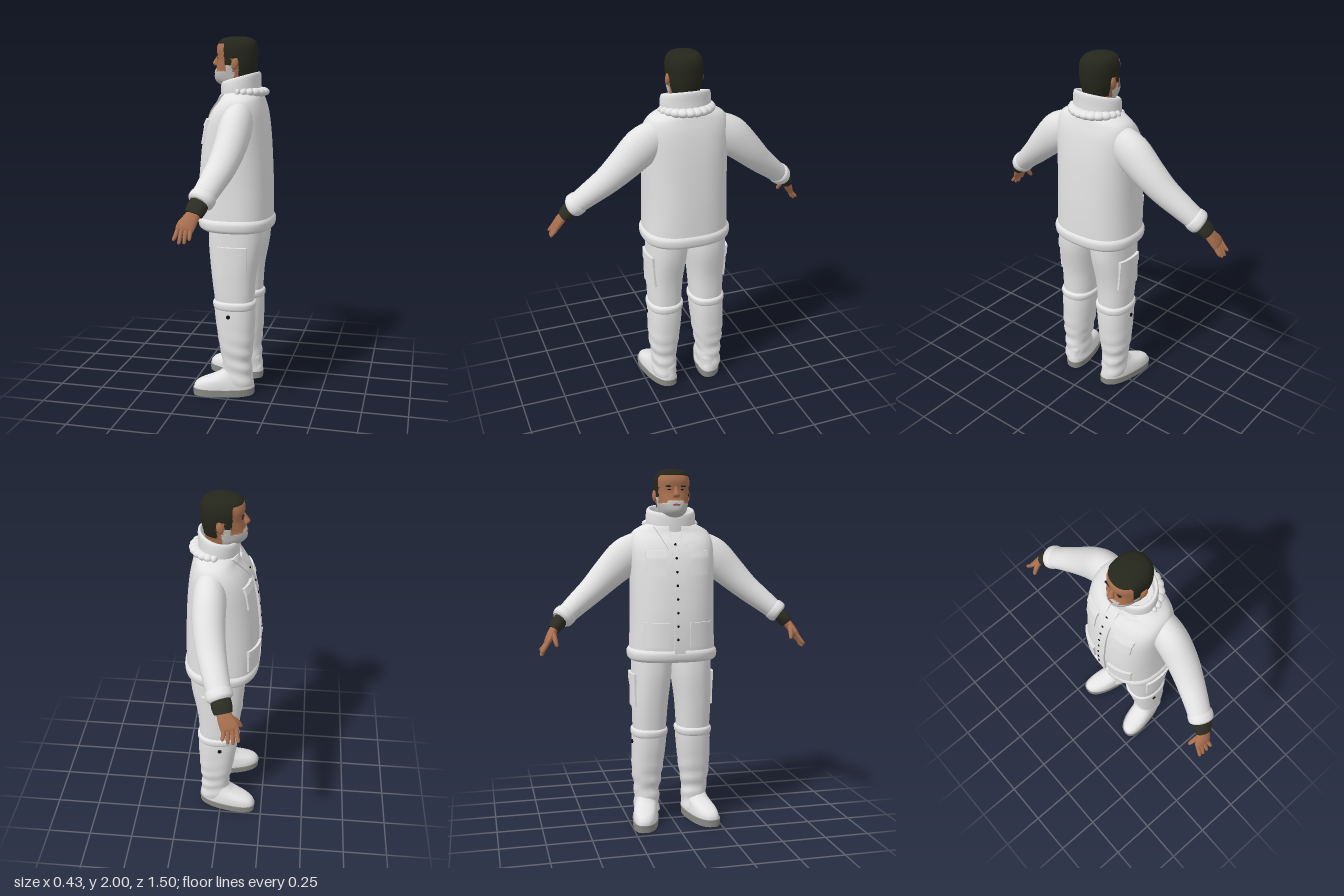
import * as THREE from 'three';

const mat = (name, color, extra = {}) => Object.assign(new THREE.MeshStandardMaterial({ color, ...extra }), { name });
const M = {
  cloth: mat('white cloth', 0xe3e3e3), skin: mat('skin', 0xa9704f), hair: mat('dark hair', 0x25261b),
  beard: mat('grey beard', 0xc4c3c1), knit: mat('dark knit', 0x2b2c22), sole: mat('sole grey', 0x8b8b87),
  black: mat('button black', 0x101010), lips: mat('lips', 0x925848),
};

// Smoothly subdivide a list of sections [x, y, z, ru, rv, power]
function refine(secs, steps) {
  const out = [];
  for (let i = 0; i < secs.length - 1; i++) {
    const p = [secs[Math.max(i - 1, 0)], secs[i], secs[i + 1], secs[Math.min(i + 2, secs.length - 1)]];
    for (let k = 0; k < steps; k++) {
      const t = k / steps;
      out.push(p[1].map((_, c) => {
        const [a, b, d, e] = p.map(s => s[c]);
        return b + 0.5 * t * (d - a + t * (2 * a - 5 * b + 4 * d - e + t * (3 * (b - d) + e - a)));
      }));
    }
  }
  out.push(secs[secs.length - 1]);
  return out;
}

// Skin superellipse sections; level keeps them horizontal, otherwise they follow the path
function loft(secs, { n = 32, steps = 4, level = true, caps = true } = {}) {
  const S = refine(secs.map(s => [...s.slice(0, 5), s[5] || 2]), steps);
  const pos = [], idx = [];
  const P = S.map(s => new THREE.Vector3(s[0], s[1], s[2]));
  S.forEach((s, i) => {
    const t = level ? new THREE.Vector3(0, 1, 0)
      : P[Math.min(i + 1, P.length - 1)].clone().sub(P[Math.max(i - 1, 0)]).normalize();
    const u = new THREE.Vector3(1, 0, 0).addScaledVector(t, -t.x).normalize();
    const v = t.clone().cross(u);
    for (let j = 0; j < n; j++) {
      const a = j / n * Math.PI * 2, c = Math.cos(a), d = Math.sin(a), e = 2 / s[5];
      const q = P[i].clone().addScaledVector(u, s[3] * Math.sign(c) * Math.abs(c) ** e)
        .addScaledVector(v, s[4] * Math.sign(d) * Math.abs(d) ** e);
      pos.push(q.x, q.y, q.z);
    }
  });
  for (let i = 0; i < S.length - 1; i++) for (let j = 0; j < n; j++) {
    const a = i * n + j, b = i * n + (j + 1) % n;
    idx.push(a, b, a + n, b, b + n, a + n);
  }
  if (caps) for (const i of [0, S.length - 1]) {
    const base = pos.length / 3;
    pos.push(...pos.slice(i * n * 3, (i + 1) * n * 3), P[i].x, P[i].y, P[i].z);
    for (let j = 0; j < n; j++) {
      const k = base + (j + 1) % n;
      if (i) idx.push(base + j, k, base + n); else idx.push(k, base + j, base + n);
    }
  }
  const g = new THREE.BufferGeometry();
  g.setAttribute('position', new THREE.Float32BufferAttribute(pos, 3));
  g.setIndex(idx);
  g.computeVertexNormals();
  return g;
}

// Move every vertex by a rule
function warp(g, rule) {
  const p = g.attributes.position, v = new THREE.Vector3();
  for (let i = 0; i < p.count; i++) { rule(v.fromBufferAttribute(p, i)); p.setXYZ(i, v.x, v.y, v.z); }
  g.computeVertexNormals();
  return g;
}

// Horizontal section from extents: y, x range, z range
const ring = (y, x0, x1, z0, z1, p = 2.3) => [(x0 + x1) / 2, y, (z0 + z1) / 2, (x1 - x0) / 2, (z1 - z0) / 2, p];
const mirrorZ = (secs, s) => secs.map(q => q.map((v, i) => i === 2 ? v * s : v));
function sectionAt(secs, y) {
  let i = secs.findIndex((q, k) => k && (q[1] - y) * (secs[k - 1][1] - y) <= 0);
  if (i < 1) i = 1;
  const t = (y - secs[i - 1][1]) / (secs[i][1] - secs[i - 1][1]);
  return secs[i].map((v, c) => THREE.MathUtils.lerp(secs[i - 1][c], v, t));
}
const bulge = (d, r, p) => Math.max(0, 1 - Math.min(1, Math.abs(d / r)) ** p) ** (1 / p);

// Main cross-sections
const TORSO = [ring(0.96, -0.19, 0.2, -0.24, 0.24, 2.5), ring(1.03, -0.2, 0.202, -0.238, 0.238, 2.5),
  ring(1.2, -0.203, 0.2, -0.232, 0.232, 2.5), ring(1.4, -0.185, 0.19, -0.233, 0.233, 2.5),
  ring(1.52, -0.16, 0.178, -0.235, 0.235, 2.6), ring(1.6, -0.125, 0.165, -0.232, 0.232, 2.6),
  ring(1.655, -0.085, 0.15, -0.215, 0.215, 2.4), ring(1.685, -0.075, 0.14, -0.175, 0.175, 2.2),
  ring(1.71, -0.06, 0.12, -0.12, 0.12, 2)];
const LEG = [ring(1.0, -0.13, 0.17, 0, 0.225), ring(0.87, -0.132, 0.167, 0.004, 0.226),
  ring(0.7, -0.115, 0.135, 0.024, 0.226), ring(0.56, -0.097, 0.125, 0.034, 0.222), ring(0.5, -0.09, 0.12, 0.04, 0.215)];
const GAITER = [ring(0.53, -0.1, 0.13, 0.03, 0.226), ring(0.45, -0.093, 0.132, 0.035, 0.228),
  ring(0.3, -0.07, 0.125, 0.052, 0.226), ring(0.2, -0.052, 0.115, 0.068, 0.215),
  ring(0.14, -0.05, 0.118, 0.07, 0.213), ring(0.06, -0.06, 0.122, 0.07, 0.213)].reverse();
const HEAD = [ring(1.65, -0.04, 0.09, -0.065, 0.065), ring(1.72, -0.045, 0.09, -0.064, 0.064),
  ring(1.738, -0.088, 0.09, -0.062, 0.062, 2), ring(1.765, -0.118, 0.094, -0.072, 0.072, 2),
  ring(1.8, -0.12, 0.098, -0.08, 0.08), ring(1.84, -0.112, 0.106, -0.088, 0.088), ring(1.88, -0.106, 0.11, -0.091, 0.091),
  ring(1.93, -0.112, 0.111, -0.092, 0.092), ring(1.965, -0.1, 0.102, -0.083, 0.083),
  ring(1.987, -0.075, 0.08, -0.065, 0.065, 2.1), ring(1.998, -0.03, 0.04, -0.03, 0.03, 2)];

const frontX = (y, z) => { const q = sectionAt(TORSO, y); return q[0] - q[3] * bulge(z, q[4], q[5]); };
// Raised plate following the jacket front; [z range] at its bottom and top
function frontPlate(y0, y1, bottom, top, s = 1, thick = 0.02) {
  return warp(new THREE.BoxGeometry(thick, 1, 1, 1, 12, 10), v => {
    const t = v.y + 0.5, w = s > 0 ? v.z + 0.5 : 0.5 - v.z, L = THREE.MathUtils.lerp;
    v.y = L(y0, y1, t);
    v.z = s * L(L(bottom[0], top[0], t), L(bottom[1], top[1], t), w);
    v.x += frontX(v.y, v.z);
  });
}

// Head regions: 0 skin, 1 hair, 2 beard
function region({ x, y, z }) {
  if (y > 1.962 || (x > -0.055 && y > 1.88) || (x > 0.025 && y > 1.785)) return 1;
  if (x > -0.05 && x < -0.015 && y > 1.845) return 1;
  if (y > 1.725 && y < 1.812 && x < 0.0) return 2;
  if (x < -0.095 && y >= 1.812 && y < 1.826 && Math.abs(z) < 0.045) return 2;
  return x > -0.045 && x < -0.01 && y >= 1.8 && y <= 1.845 ? 2 : 0;
}
function headGeometry() {
  const g = loft(HEAD, { n: 72, steps: 7 });
  warp(g, v => { if (region(v)) { v.x = 0.004 + (v.x - 0.004) * 1.035; v.z *= 1.045; } });
  const buckets = [[], [], []], p = g.attributes.position, id = g.index.array, c = new THREE.Vector3(), q = new THREE.Vector3();
  for (let i = 0; i < id.length; i += 3) {
    c.set(0, 0, 0);
    for (let k = 0; k < 3; k++) c.add(q.fromBufferAttribute(p, id[i + k]));
    buckets[region(c.divideScalar(3))].push(id[i], id[i + 1], id[i + 2]);
  }
  g.setIndex(buckets.flat());
  let start = 0;
  buckets.forEach((b, i) => { g.addGroup(start, b.length, i); start += b.length; });
  return g;
}

export function createModel() {
  const root = new THREE.Group();
  root.name = 'manInWinterSuit';
  const add = (name, geo, material, parent = root) => {
    const m = new THREE.Mesh(geo, material);
    m.name = name; parent.add(m);
    return m;
  };
  const blob = (name, material, x, y, z, rx, ry, rz, parent) => {
    const m = add(name, new THREE.SphereGeometry(1, 20, 14), material, parent);
    m.position.set(x, y, z); m.scale.set(rx, ry, rz);
    return m;
  };

  // Head and face
  const head = new THREE.Group(); head.name = 'head'; root.add(head);
  add('skull', headGeometry(), [M.skin, M.hair, M.beard], head);
  add('nose', loft([[-0.102, 1.9, 0, 0.008, 0.008], [-0.112, 1.878, 0, 0.013, 0.011],
    [-0.12, 1.856, 0, 0.018, 0.018], [-0.112, 1.842, 0, 0.015, 0.016]].reverse(), { n: 16 }), M.skin, head);
  blob('mouth', M.lips, -0.12, 1.803, 0, 0.008, 0.006, 0.022, head);
  for (const s of [1, -1]) {
    blob('ear', M.skin, 0.008, 1.853, s * 0.094, 0.019, 0.032, 0.012, head).rotation.z = -0.2;
    blob('eye', M.black, -0.0985, 1.884, s * 0.034, 0.006, 0.004, 0.011, head);
    blob('eyebrow', M.hair, -0.1, 1.902, s * 0.037, 0.009, 0.005, 0.021, head).rotation.y = -s * 0.25;
  }

  // Jacket
  const jacket = new THREE.Group(); jacket.name = 'jacket'; root.add(jacket);
  add('jacketBody', loft(TORSO, { n: 56 }), M.cloth, jacket);
  add('jacketHem', loft([ring(0.95, -0.185, 0.2, -0.238, 0.238, 2.5), ring(0.965, -0.203, 0.21, -0.249, 0.249, 2.5),
    ring(1.0, -0.208, 0.212, -0.251, 0.251, 2.5), ring(1.022, -0.195, 0.197, -0.235, 0.235, 2.5)], { n: 56 }), M.cloth, jacket);
  const collar = loft([[0.025, 1.67, 0, 0.108, 0.137], [0.022, 1.72, 0, 0.108, 0.14], [0.022, 1.768, 0, 0.108, 0.136],
    [0.022, 1.782, 0, 0.099, 0.126], [0.022, 1.77, 0, 0.09, 0.115], [0.022, 1.69, 0, 0.088, 0.11]], { n: 44, caps: false });
  add('collar', warp(collar, v => { v.y += 0.28 * (v.x - 0.02); }), M.cloth, jacket);
  const hood = [];
  for (let i = 0; i <= 12; i++) {
    const a = (i / 12 - 0.5) * Math.PI * 1.1, r = 0.012 + 0.026 * Math.cos(a * 0.85);
    hood.push(new THREE.Vector4(0.035 + 0.105 * Math.cos(a), 1.702, 0.125 * Math.sin(a), r));
  }
  hood.forEach((q, i) => {
    if (!i) return;
    blob('hoodRoll', M.cloth, (q.x + hood[i - 1].x) / 2, q.y, (q.z + hood[i - 1].z) / 2, q.w * 1.05, 0.024, 0.036, jacket);
  });
  add('frontPlacket', frontPlate(0.99, 1.655, [-0.03, 0.03], [-0.03, 0.03], 1, 0.024), M.cloth, jacket);
  for (let i = 0; i < 8; i++) {
    const y = 1.08 + i * 0.073;
    blob('snapButton', M.black, frontX(y, 0) - 0.013, y, -0.012, 0.004, 0.007, 0.007, jacket);
  }
  for (const s of [1, -1]) {
    add('chestPocket', frontPlate(1.425, 1.55, [0.07, 0.17], [0.07, 0.17], s), M.cloth, jacket);
    add('chestPocketFlap', frontPlate(1.525, 1.558, [0.066, 0.174], [0.066, 0.174], s, 0.032), M.cloth, jacket);
    add('lowerPocket', frontPlate(1.035, 1.165, [0.06, 0.185], [0.06, 0.185], s), M.cloth, jacket);
    add('lowerPocketFlap', frontPlate(1.14, 1.172, [0.057, 0.188], [0.057, 0.188], s, 0.032), M.cloth, jacket);
    add('lapel', frontPlate(1.56, 1.69, [0.028, 0.05], [0.035, 0.115], s, 0.026), M.cloth, jacket);

    // Arm, cuff and hand
    const arm = new THREE.Group(); arm.name = s > 0 ? 'armPositiveZ' : 'armNegativeZ'; root.add(arm);
    const limb = (name, secs, material, n = 28) => add(name, loft(mirrorZ(secs, s), { n, level: false }), material, arm);
    limb('sleeve', [[0.05, 1.575, 0.165, 0.075, 0.09], [0.047, 1.52, 0.25, 0.087, 0.105], [0.04, 1.43, 0.35, 0.084, 0.09],
      [0.02, 1.345, 0.44, 0.077, 0.074], [-0.01, 1.27, 0.53, 0.069, 0.063], [-0.035, 1.215, 0.595, 0.063, 0.055]], M.cloth, 36);
    limb('sleeveCuff', [[-0.028, 1.228, 0.583, 0.058, 0.052], [-0.033, 1.217, 0.595, 0.069, 0.061],
      [-0.042, 1.197, 0.619, 0.069, 0.06], [-0.047, 1.188, 0.63, 0.056, 0.048]], M.cloth);
    limb('knitCuff', [[-0.042, 1.2, 0.615, 0.05, 0.038], [-0.055, 1.165, 0.648, 0.053, 0.038], [-0.064, 1.138, 0.668, 0.046, 0.033]], M.knit);
    limb('palm', [[-0.06, 1.15, 0.66, 0.034, 0.024], [-0.078, 1.115, 0.683, 0.042, 0.022],
      [-0.098, 1.08, 0.703, 0.048, 0.018], [-0.104, 1.065, 0.711, 0.04, 0.01]], M.skin, 20);
    for (let i = 0; i < 4; i++) {
      const x = -0.132 + i * 0.022, tip = [1.02, 1.004, 1.006, 1.024][i];
      limb('finger', [[x, 1.085, 0.7, 0.011, 0.011], [x - 0.006 + i * 0.001, 1.05, 0.722, 0.011, 0.011],
        [x - 0.013 + i * 0.004, tip + 0.008, 0.739, 0.009, 0.009], [x - 0.014 + i * 0.004, tip, 0.742, 0.004, 0.004]], M.skin, 10);
    }
    limb('thumb', [[-0.095, 1.125, 0.675, 0.017, 0.015], [-0.13, 1.095, 0.668, 0.015, 0.013],
      [-0.149, 1.065, 0.662, 0.011, 0.01], [-0.152, 1.055, 0.661, 0.005, 0.005]], M.skin, 12);

    // Trouser leg with thigh pocket
    const leg = new THREE.Group(); leg.name = s > 0 ? 'legPositiveZ' : 'legNegativeZ'; root.add(leg);
    add('trouserLeg', loft(mirrorZ(LEG.slice().reverse(), s), { n: 36 }), M.cloth, leg);
    const sidePlate = (name, y0, y1, x0, x1, thick) => add(name, warp(new THREE.BoxGeometry(x1 - x0, y1 - y0, thick, 10, 10, 1), v => {
      v.x += (x0 + x1) / 2; v.y += (y0 + y1) / 2;
      const q = sectionAt(LEG, v.y);
      v.z += s * (q[2] + q[4] * bulge(v.x - q[0], q[3], q[5]));
    }), M.cloth, leg);
    sidePlate('thighPocket', 0.685, 0.865, -0.06, 0.1, 0.022);
    sidePlate('thighPocketFlap', 0.82, 0.872, -0.063, 0.103, 0.032);

    // Gaiter, boot and sole
    add('gaiter', warp(loft(mirrorZ(GAITER, s), { n: 36, steps: 6 }), v => {
      const k = 0.003 * Math.sin(v.y * 75 + v.x * 18) * THREE.MathUtils.smoothstep(0.45 - v.y, 0, 0.2);
      v.x += k; v.z += k * s;
    }), M.cloth, leg);
    add('gaiterCuff', loft(mirrorZ([ring(0.505, -0.095, 0.128, 0.036, 0.224), ring(0.518, -0.104, 0.136, 0.026, 0.232),
      ring(0.543, -0.106, 0.137, 0.024, 0.232), ring(0.555, -0.095, 0.124, 0.036, 0.222)], s), { n: 36 }), M.cloth, leg);
    const knob = add('gaiterButton', new THREE.CylinderGeometry(0.011, 0.011, 0.008, 16), M.black, leg);
    knob.rotation.x = Math.PI / 2; knob.position.set(0, 0.475, s * 0.229);
    const toeOut = v => { v.z -= s * (v.x - 0.02) * 0.2; };
    add('boot', warp(loft(mirrorZ([ring(0.03, -0.206, 0.127, 0.08, 0.22, 2.5), ring(0.06, -0.203, 0.127, 0.08, 0.22, 2.4),
      ring(0.085, -0.178, 0.123, 0.083, 0.217), ring(0.105, -0.125, 0.12, 0.083, 0.212),
      ring(0.125, -0.075, 0.118, 0.083, 0.207), ring(0.15, -0.045, 0.112, 0.088, 0.202)], s), { n: 36 }), toeOut), M.cloth, leg);
    add('bootSole', warp(loft(mirrorZ([ring(0, -0.208, 0.128, 0.076, 0.224, 2.5), ring(0.04, -0.211, 0.131, 0.074, 0.226, 2.5)], s),
      { n: 36, steps: 1 }), toeOut), M.sole, leg);
  }
  return root;
}
